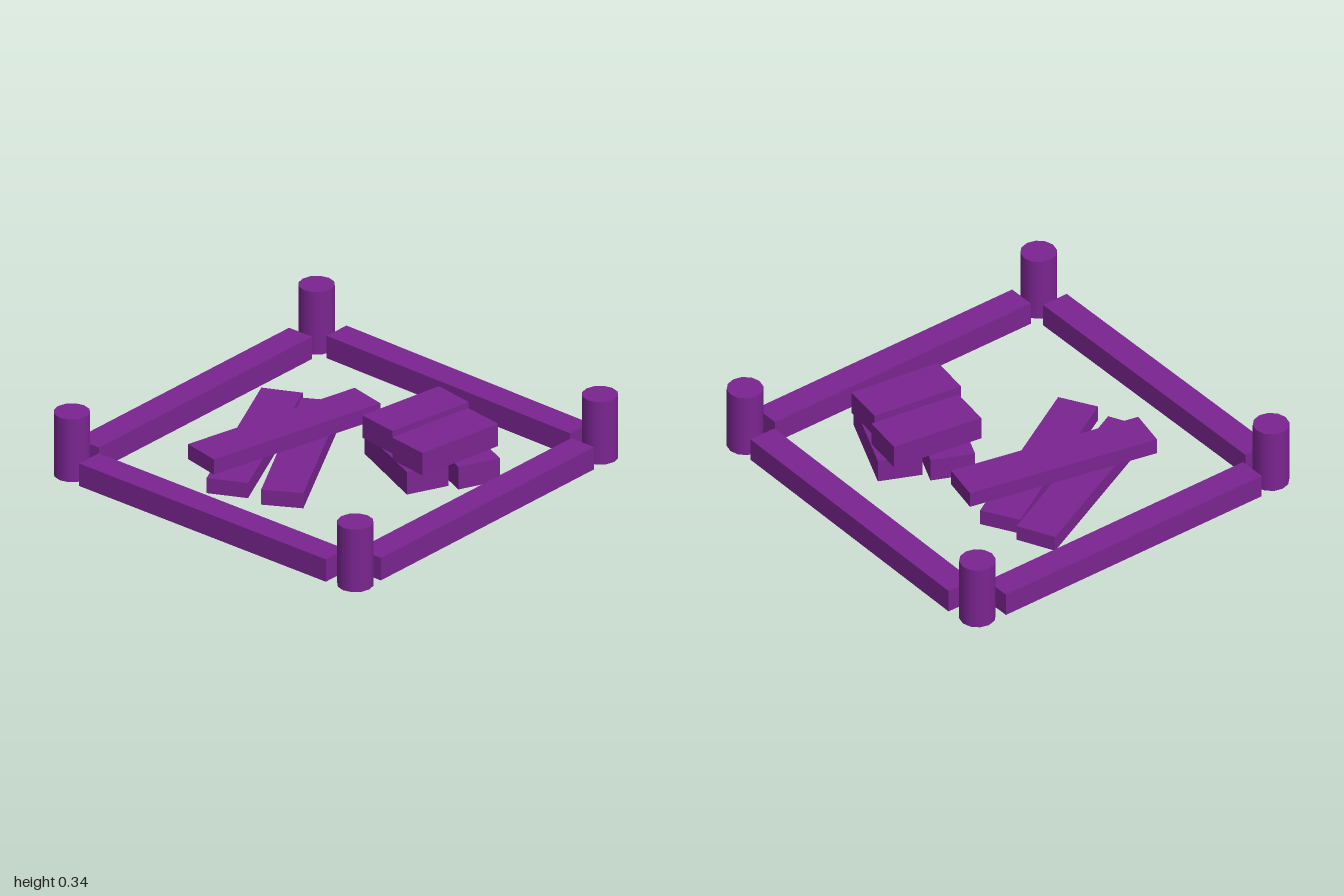
import * as THREE from 'three';

export function createModel() {
  const group = new THREE.Group();
  group.name = 'timberPen';
  const purple = new THREE.MeshStandardMaterial({ color: 0x7b2591 });

  function add(name, geometry, x, y, z, angle = 0) {
    const mesh = new THREE.Mesh(geometry, purple);
    mesh.name = name;
    mesh.position.set(x, y, z);
    mesh.rotation.y = angle;
    group.add(mesh);
  }

  // Corner posts
  const post = new THREE.CylinderGeometry(0.09, 0.09, 0.34, 12);
  for (const x of [-0.91, 0.91])
    for (const z of [-0.91, 0.91]) add('cornerPost', post, x, 0.17, z);

  // Border rails, one slightly askew
  const rail = new THREE.BoxGeometry(1.585, 0.122, 0.147);
  add('backRail', rail, 0, 0.061, -0.912);
  add('frontRail', rail, -0.007, 0.061, 0.905);
  add('rightRail', rail, -0.912, 0.061, -0.007, Math.PI / 2);
  add('leftRail', rail, 0.907, 0.061, 0.002, 1.555);

  // Long planks: two on the ground, one across them
  const plank = new THREE.BoxGeometry(1.013, 0.082, 0.209);
  add('lowerPlank', plank, -0.137, 0.041, -0.404, 0.446);
  add('lowerPlank', plank, -0.068, 0.041, -0.157, 0.517);
  add('upperPlank', plank, -0.072, 0.124, -0.27, -0.214);

  // Short blocks: two crossed layers of two
  const block = new THREE.BoxGeometry(0.487, 0.122, 0.224);
  add('lowerBlock', block, 0.187, 0.061, 0.292, 1.148);
  add('lowerBlock', block, 0.392, 0.061, 0.445, 1.148);
  add('upperBlock', block, 0.322, 0.201, 0.233, -0.155);
  add('upperBlock', block, 0.237, 0.201, 0.497, -0.142);

  return group;
}
